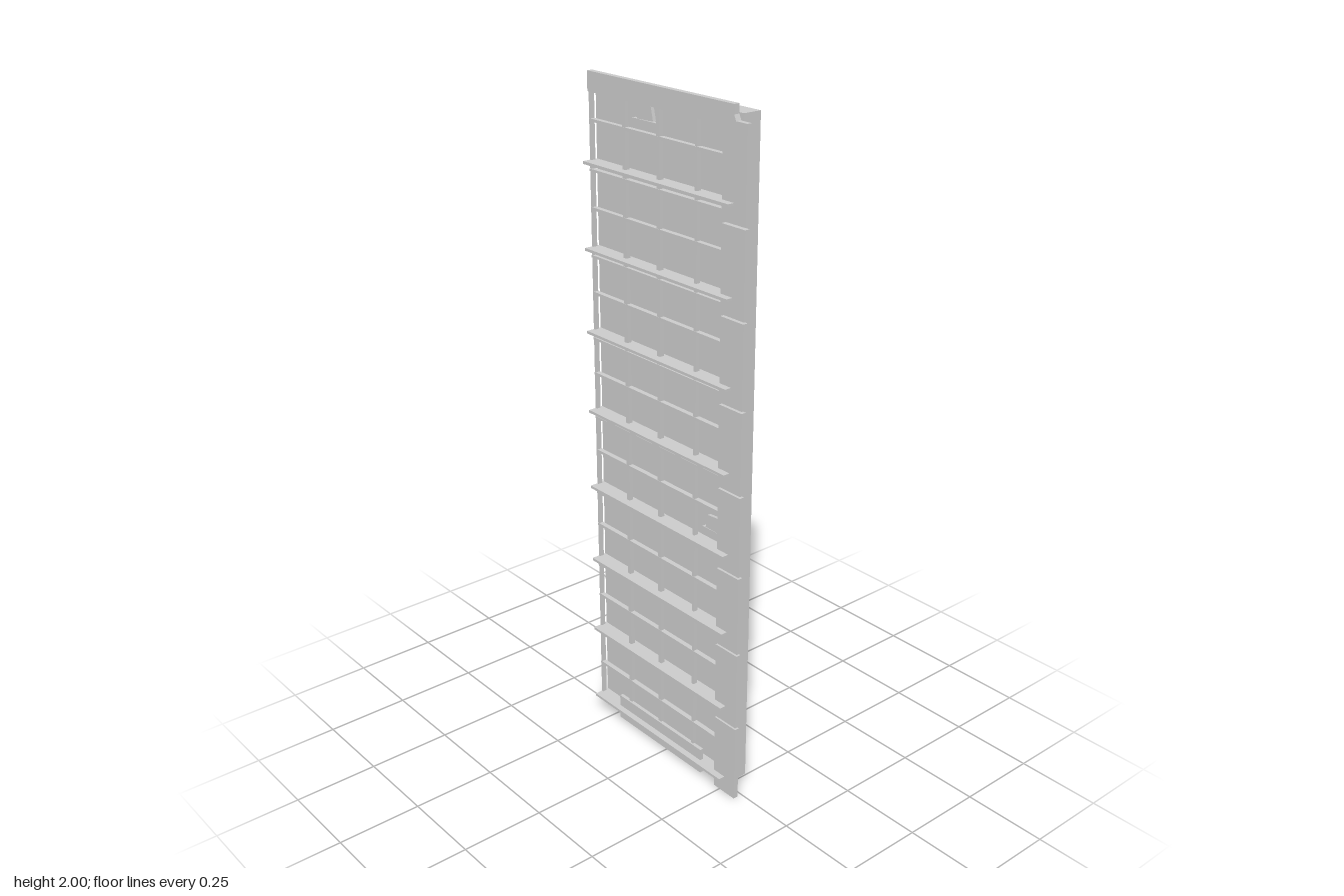
import * as THREE from 'three';

export function createModel() {
  const model = new THREE.Group();
  const material = new THREE.MeshStandardMaterial({ color: 0xcccccc, flatShading: true });

  // Box given by its limits on each axis
  const block = (name, [x0, x1], [y0, y1], [z0, z1]) => {
    const mesh = new THREE.Mesh(new THREE.BoxGeometry(x1 - x0, y1 - y0, z1 - z0), material);
    mesh.position.set((x0 + x1) / 2, (y0 + y1) / 2, (z0 + z1) / 2);
    mesh.name = name;
    model.add(mesh);
  };

  // Flat outline extruded towards the front
  const plate = (name, points, z0, z1) => {
    const shape = new THREE.Shape(points.map(([x, y]) => new THREE.Vector2(x, y)));
    const geometry = new THREE.ExtrudeGeometry(shape, { depth: z1 - z0, bevelEnabled: false });
    const mesh = new THREE.Mesh(geometry, material);
    mesh.position.z = z0;
    mesh.name = name;
    model.add(mesh);
  };

  // Main wall slab
  block('wallSlab', [-0.315, 0.27], [0.025, 1.975], [-0.053, 0.002]);

  // Header board with a small notch at its right end
  plate('headerBoard', [
    [-0.315, 1.945], [0.225, 1.945], [0.225, 1.96], [0.272, 1.96],
    [0.265, 1.975], [0.265, 2], [-0.315, 2],
  ], 0.013, 0.03);

  // Eight repeating storeys: ledge, lower rail, middle rail and edge board
  const pitch = 0.2437;
  for (let i = 0; i < 8; i++) {
    const y = i * pitch;
    block('ledge', [-0.315, 0.27], [y + 0.046, y + 0.054], [0, 0.05]);
    block('lowerRail', [-0.315, 0.225], [y + 0.023, y + 0.03], [0.012, 0.028]);
    block('middleRail', [-0.315, 0.225], [y + 0.159, y + 0.167], [0.012, 0.027]);
    const top = i === 7 ? 1.96 : y + pitch - 0.006;
    block('edgeBoard', [0.225, 0.312], [y, top], [0.015, 0.03]);
  }

  // Upright battens
  for (const [x, width] of [[-0.312, 0.006], [-0.168, 0.012], [-0.027, 0.012], [0.122, 0.008]]) {
    block('upright', [x - width / 2, x + width / 2], [0.025, 1.945], [0.012, 0.026]);
  }

  // Small chipped patches on the wall, each with a sill
  plate('upperPatch', [[-0.127, 1.9], [-0.062, 1.902], [-0.072, 1.943], [-0.137, 1.94]], 0.002, 0.012);
  block('upperPatchSill', [-0.147, -0.045], [1.894, 1.9], [0.002, 0.013]);
  plate('lowerPatch', [[0.157, 0.82], [0.225, 0.818], [0.225, 0.865], [0.165, 0.86]], 0.002, 0.012);
  block('lowerPatchSill', [0.145, 0.225], [0.813, 0.819], [0.002, 0.013]);

  // Kick plate along the foot
  block('kickPlate', [-0.215, 0.165], [0.01, 0.09], [0.02, 0.031]);

  return model;
}
